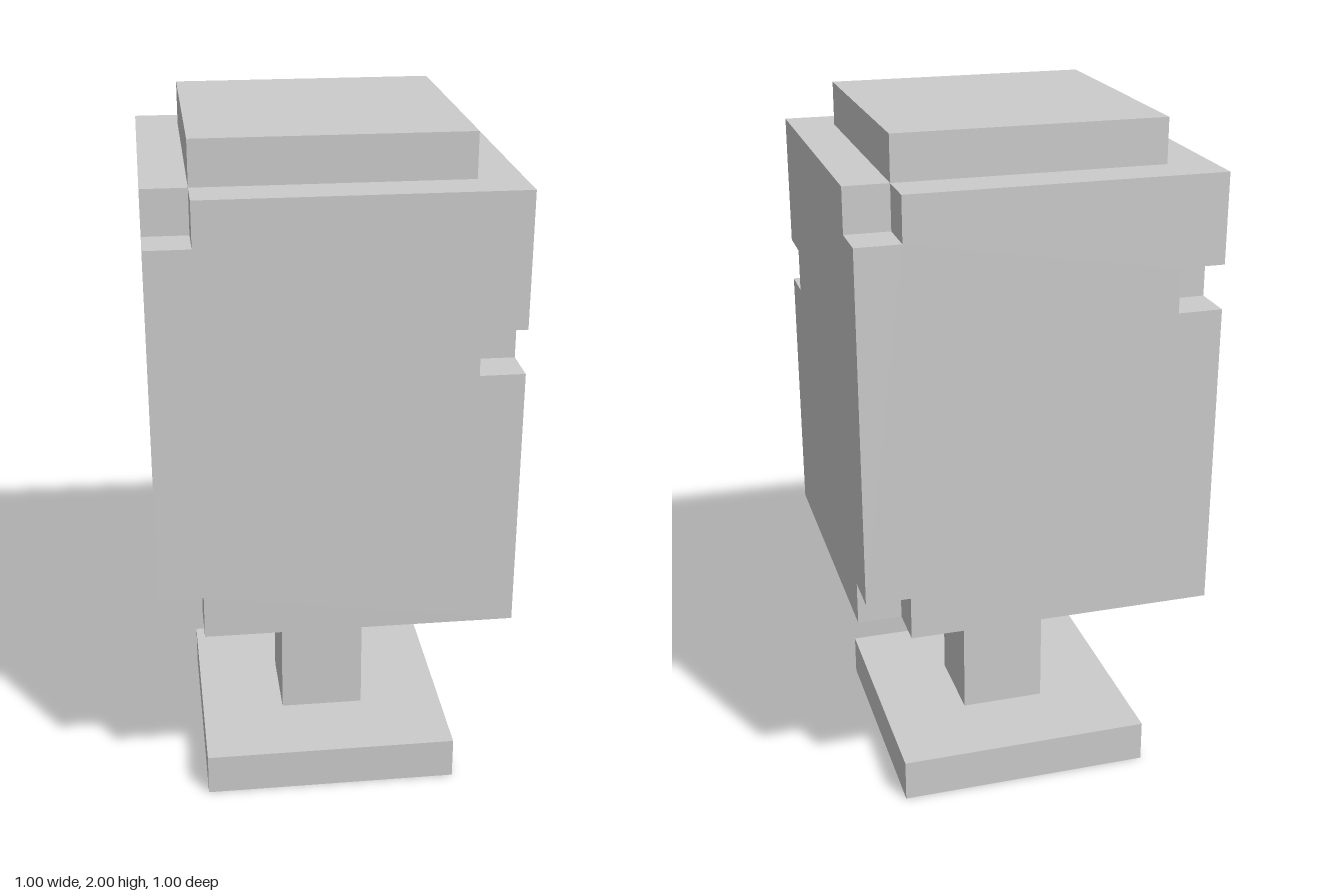
import * as THREE from 'three';
import { mergeGeometries } from 'three/addons/utils/BufferGeometryUtils.js';

const H = 0.5, N = 0.125, I = H - N;      // half width, notch size, inset
const BOTTOM = 0.625, TOP = 1.875;        // body height range
const MID_FRONT = 1.375, MID_BACK = 1.5;  // lower edges of the mid notches

const flat = (points) =>
  new THREE.ShapeGeometry(new THREE.Shape(points.map(([x, y]) => new THREE.Vector2(x, y))));

// Side wall: top and bottom corners cut on one edge, a mid notch in the other
function wall(mid, mirror, turn) {
  const s = mirror ? -1 : 1;
  const points = [
    [-I, BOTTOM], [H, BOTTOM], [H, mid], [I, mid], [I, mid + N], [H, mid + N],
    [H, TOP], [-I, TOP], [-I, TOP - N], [-H, TOP - N], [-H, BOTTOM + N], [-I, BOTTOM + N],
  ];
  return flat(points.map(([x, y]) => [s * x, y])).translate(0, 0, H).rotateY(turn);
}

// Horizontal cap: square with two opposite corners cut away
function cap(y, tilt) {
  const s = tilt < 0 ? 1 : -1;
  const points = [[-I, -H], [H, -H], [H, I], [I, I], [I, H], [-H, H], [-H, -I], [-I, -I]];
  return flat(points.map(([x, v]) => [s * x, v])).rotateX(tilt).translate(0, y, 0);
}

// Inner faces of a cubic notch in a vertical corner of the body
function notch(y, turn, floor, ceiling) {
  const c = H - N / 2;
  const plane = () => new THREE.PlaneGeometry(N, N);
  const faces = [
    plane().translate(c, y + N / 2, I),
    plane().rotateY(Math.PI / 2).translate(I, y + N / 2, c),
  ];
  if (floor) faces.push(plane().rotateX(-Math.PI / 2).translate(c, y, c));
  if (ceiling) faces.push(plane().rotateX(Math.PI / 2).translate(c, y + N, c));
  return faces.map((g) => g.rotateY(turn));
}

export function createModel() {
  const group = new THREE.Group();
  const material = new THREE.MeshStandardMaterial({ color: 0xcccccc, flatShading: true });
  const add = (name, geometry) => {
    const mesh = new THREE.Mesh(geometry, material);
    mesh.name = name;
    group.add(mesh);
  };
  const slab = (name, width, y0, y1) =>
    add(name, new THREE.BoxGeometry(width, y1 - y0, width).translate(0, (y0 + y1) / 2, 0));

  slab('base', 0.75, 0, 0.125);
  slab('post', 0.25, 0.125, BOTTOM);
  slab('lid', 0.75, TOP, 2);

  // Body with notched corners
  const q = Math.PI / 2;
  const parts = [
    wall(MID_FRONT, false, 0), wall(MID_FRONT, true, q),
    wall(MID_BACK, false, 2 * q), wall(MID_BACK, true, -q),
    cap(TOP, -q), cap(BOTTOM, q),
    ...notch(MID_FRONT, 0, true, true),
    ...notch(MID_BACK, 2 * q, true, true),
  ];
  for (const turn of [q, -q]) {
    parts.push(...notch(TOP - N, turn, true, false), ...notch(BOTTOM, turn, false, true));
  }
  add('body', mergeGeometries(parts));
  return group;
}
